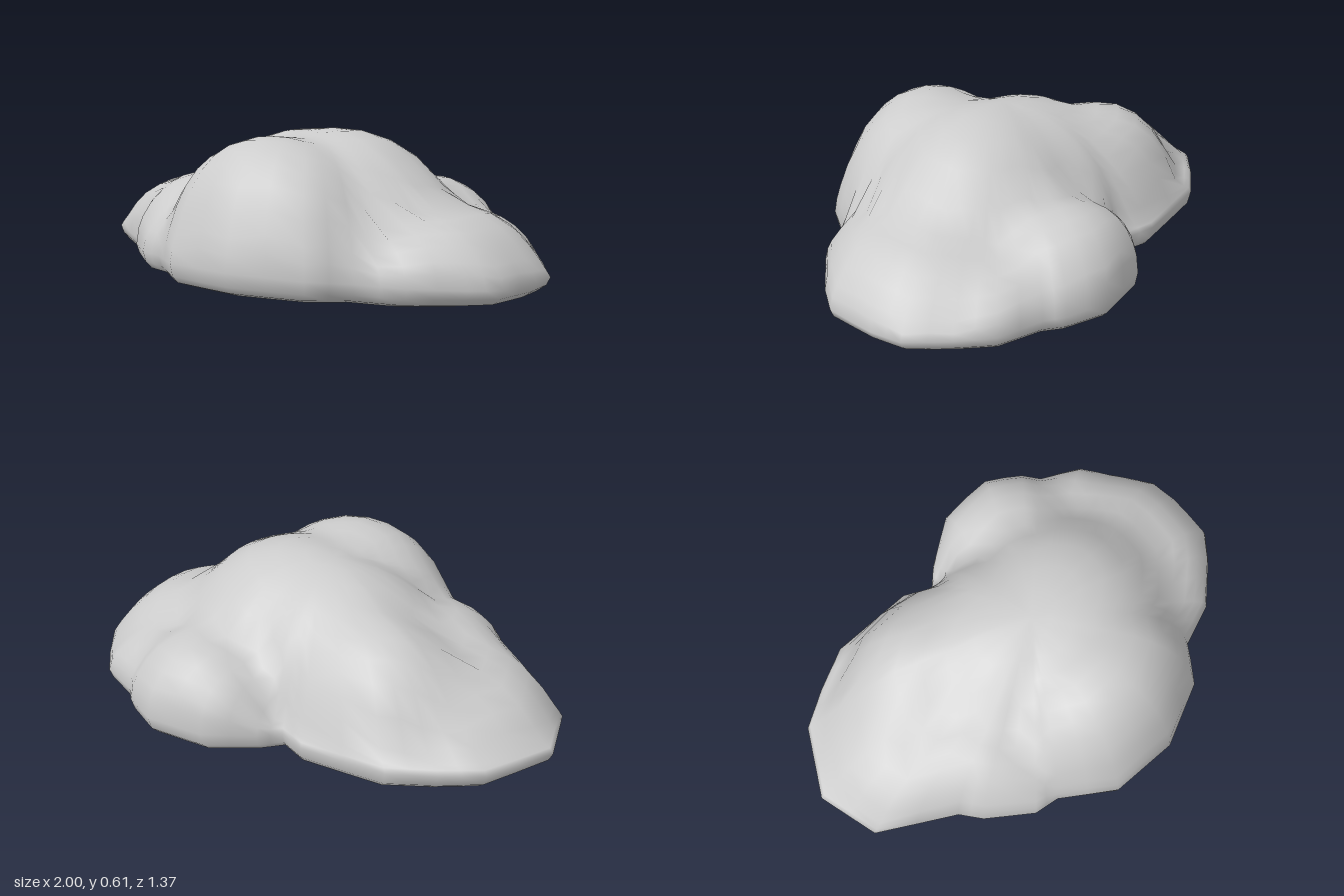
import * as THREE from 'three';

// Footprint seen from above as [x, z], running front -> left -> back -> right
const OUTLINE = [
  [0.06, 0.68], [0.34, 0.6], [0.47, 0.47], [0.66, 0.43], [0.84, 0.31], [0.94, 0.22],
  [0.99, 0.02], [1, -0.11], [0.92, -0.27], [0.84, -0.4], [0.68, -0.5], [0.63, -0.57],
  [0.49, -0.67], [0.25, -0.69], [0.06, -0.6], [-0.02, -0.54], [-0.13, -0.61], [-0.48, -0.65],
  [-0.66, -0.59], [-0.82, -0.52], [-1, -0.28], [-0.97, -0.02], [-0.7, 0.19], [-0.65, 0.28],
  [-0.5, 0.43], [-0.4, 0.46], [-0.22, 0.63],
];

// Rounded lobes: [centre x, centre z, radius x, radius z, height]
const LOBES = [
  [0.04, 0.32, 0.5, 0.4, 0.6],       // front
  [0.17, 0.02, 0.54, 0.5, 0.61],     // main crown
  [-0.06, -0.06, 0.5, 0.48, 0.585],  // middle
  [0.58, 0.03, 0.46, 0.5, 0.35],     // left side
  [0.36, -0.43, 0.38, 0.42, 0.385],  // back left
  [-0.32, -0.28, 0.41, 0.36, 0.51],  // back right
  [-0.6, -0.14, 0.41, 0.47, 0.36],   // right side
  [-0.4, 0.03, 0.44, 0.5, 0.41],     // front right
  [0.45, 0.25, 0.35, 0.32, 0.25],    // saddle between front and left side
  [0.6, -0.3, 0.34, 0.34, 0.28],     // saddle between left side and back left
];

const baseY = (x, z) => 0.04 * ((x - 0.4) / 1.3) ** 2 + 0.04 * ((z + 0.1) / 0.73) ** 2;
const rimY = (x, z) => baseY(x, z) + 0.07 + 0.05 * z * z;

// Height of the upper surface: lobes softly merged, rounded off towards the rim
function topY(x, z, s) {
  let sum = 0;
  for (const [cx, cz, rx, rz, height] of LOBES) {
    const d = ((x - cx) / rx) ** 2 + ((z - cz) / rz) ** 2;
    if (d < 1) sum += (height * Math.sqrt(1 - d)) ** 20;
  }
  const rim = rimY(x, z);
  return rim + Math.max(0.05, sum ** 0.05 - rim) * Math.sqrt(1 - s ** 13);
}

function boulderGeometry() {
  // Double the outline with midpoints
  const ring = OUTLINE.flatMap(([x, z], i) => {
    const [nx, nz] = OUTLINE[(i + 1) % OUTLINE.length];
    return [[x, z], [(x + nx) / 2, (z + nz) / 2]];
  });
  const n = ring.length;

  // Rings run from the crown out to the rim, then back in underneath
  const rings = [
    ...[0.12, 0.24, 0.36, 0.47, 0.58, 0.68, 0.77, 0.85, 0.91, 0.96, 0.985, 1].map((s) => [s, topY]),
    [0.985, (x, z) => baseY(x, z) + 0.04],
    [0.95, (x, z) => baseY(x, z) + 0.015],
    ...[0.86, 0.7, 0.4].map((s) => [s, baseY]),
  ];
  const positions = [0, topY(0, 0, 0), 0];
  for (const [s, heightAt] of rings) {
    for (const [px, pz] of ring) {
      const x = px * s, z = pz * s;
      positions.push(x, heightAt(x, z, s), z);
    }
  }
  const last = positions.length / 3;
  positions.push(0, baseY(0, 0), 0);

  const index = [];
  const at = (r, j) => 1 + r * n + (j % n);
  for (let j = 0; j < n; j++) {
    index.push(0, at(0, j), at(0, j + 1));
    for (let r = 0; r < rings.length - 1; r++) {
      const a = at(r, j), b = at(r + 1, j), c = at(r + 1, j + 1), d = at(r, j + 1);
      index.push(a, b, c, a, c, d);
    }
    index.push(at(rings.length - 1, j), last, at(rings.length - 1, j + 1));
  }

  const geometry = new THREE.BufferGeometry();
  geometry.setAttribute('position', new THREE.Float32BufferAttribute(positions, 3));
  geometry.setIndex(index);
  geometry.computeVertexNormals();
  return geometry;
}

export function createModel() {
  const group = new THREE.Group();
  group.name = 'boulder';
  const stone = new THREE.MeshStandardMaterial({ color: 0xcccccc });
  stone.name = 'stone grey';
  const body = new THREE.Mesh(boulderGeometry(), stone);
  body.name = 'lobedBody';
  // Stand the lowest point on the ground
  body.geometry.computeBoundingBox();
  body.position.y = -body.geometry.boundingBox.min.y;
  group.add(body);
  return group;
}
